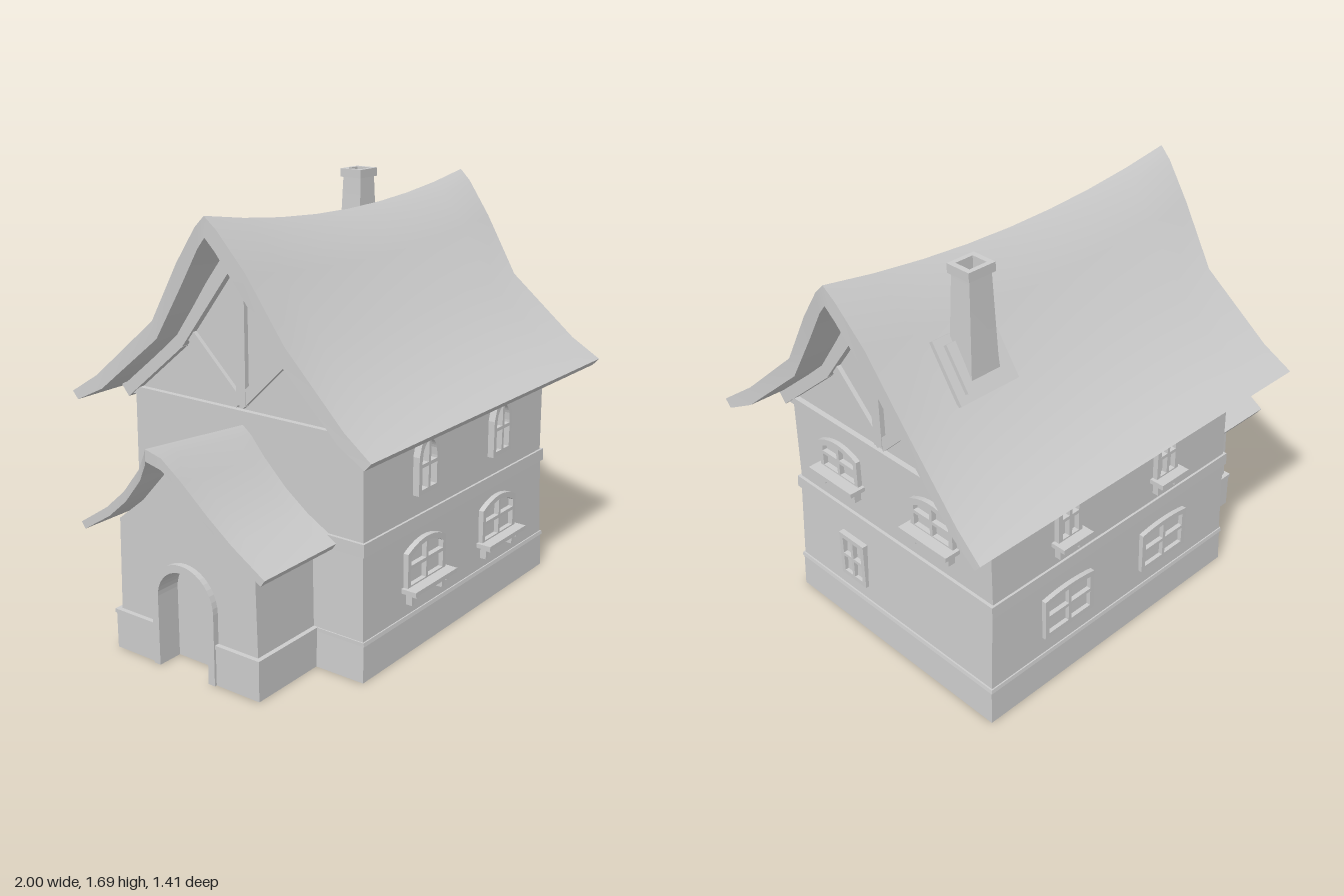
import * as THREE from 'three';
import { toCreasedNormals } from 'three/addons/utils/BufferGeometryUtils.js';

const material = new THREE.MeshStandardMaterial({ color: 0xcccccc });

function add(parent, name, geometry, x = 0, y = 0, z = 0) {
  const mesh = new THREE.Mesh(geometry, material);
  mesh.name = name;
  mesh.position.set(x, y, z);
  parent.add(mesh);
  return mesh;
}

const box = (w, h, d) => new THREE.BoxGeometry(w, h, d);
const vec = (pts) => pts.map(([x, y]) => new THREE.Vector2(x, y));
const mirrored = (half) => [...half, ...half.slice(0, -1).reverse().map(([a, ...rest]) => [-a, ...rest])];

// Extrude a (z, y) outline along x, from xMax down to xMin
function extrudeX(shape, xMin, xMax) {
  const g = new THREE.ExtrudeGeometry(shape, { depth: xMax - xMin, bevelEnabled: false, curveSegments: 10 });
  return g.rotateY(-Math.PI / 2).translate(xMax, 0, 0);
}

// Box whose bottom and top are given as [xMin, xMax, zHalf]
function taperBox(y0, y1, bottom, top) {
  const g = box(1, 1, 1), p = g.attributes.position;
  for (let i = 0; i < p.count; i++) {
    const up = p.getY(i) > 0, [x0, x1, z] = up ? top : bottom;
    p.setXYZ(i, p.getX(i) > 0 ? x1 : x0, up ? y1 : y0, Math.sign(p.getZ(i)) * z);
  }
  g.computeVertexNormals();
  return g;
}

// Thick curved roof: half profiles [z, y, inset] from eave to ridge, bent by place(t, point)
function roofGeometry(outer, inner, steps, place) {
  const ring = [...mirrored(outer), ...mirrored(inner).reverse()];
  const n = ring.length, pos = [], idx = [];
  for (let k = 0; k <= steps; k++) {
    for (const [z, y, inset] of ring) {
      const [px, py] = place(k / steps, y, inset);
      pos.push(px, py, z);
    }
  }
  const quad = (a, b, c, d) => idx.push(a, b, c, a, c, d);
  for (let k = 0; k < steps; k++) {
    for (let i = 0; i < n; i++) {
      const j = (i + 1) % n, a = k * n, b = a + n;
      quad(a + i, b + i, b + j, a + j);
    }
  }
  const e = steps * n;
  for (let i = 0; i < n / 2 - 1; i++) {
    quad(e + i, e + n - 1 - i, e + n - 2 - i, e + i + 1);
    quad(i, i + 1, n - 2 - i, n - 1 - i);
  }
  const g = new THREE.BufferGeometry();
  g.setAttribute('position', new THREE.Float32BufferAttribute(pos, 3));
  g.setIndex(idx);
  return toCreasedNormals(g, 0.5);
}

// Window with four panes, facing +z, origin at the bottom centre on the wall
function makeWindow({ hw, h, rise = 0, round = false, sill = false, out = 0.028 }) {
  const group = new THREE.Group();
  group.name = 'window';
  const border = 0.02, bar = 0.007, N = 10;
  const topEdge = (x, w, height) => {
    const u = Math.min(1, Math.abs(x) / w);
    return height - rise * (round ? 1 - Math.sqrt(1 - u * u) : u * u);
  };
  const outline = (a, b, y0, top) => {
    const pts = [[a, y0], [b, y0]];
    for (let i = 0; i <= N; i++) {
      const x = b + (a - b) * i / N;
      pts.push([x, top(x)]);
    }
    return vec(pts);
  };
  const frame = new THREE.Shape(outline(-hw, hw, 0, (x) => topEdge(x, hw, h)));
  const w = hw - border, mid = h * 0.5;
  for (const [a, b] of [[-w, -bar], [bar, w]]) {
    frame.holes.push(new THREE.Path(outline(a, b, border, () => mid - bar)));
    frame.holes.push(new THREE.Path(outline(a, b, mid + bar, (x) => topEdge(x, w, h - border))));
  }
  add(group, 'windowFrame', new THREE.ExtrudeGeometry(frame, { depth: 0.03 + out, bevelEnabled: false }), 0, 0, -0.03);
  if (sill) {
    add(group, 'windowSill', box(2 * hw + 0.03, 0.018, 0.09), 0, 0.005, 0.022);
    for (const s of [-1, 1]) {
      add(group, 'sillBracket', box(0.018, 0.06, 0.05), s * hw * 0.8, -0.03, 0.005);
      add(group, 'sillBracketFoot', box(0.018, 0.025, 0.065), s * hw * 0.8, -0.012, 0.018);
    }
  }
  return group;
}

export function createModel() {
  const house = new THREE.Group();
  house.name = 'house';

  // Walls, plinth and string courses
  add(house, 'plinth', taperBox(0, 0.15, [-0.505, 0.832, 0.563], [-0.5, 0.826, 0.56]));
  add(house, 'plinthBand', taperBox(0.145, 0.16, [-0.505, 0.831, 0.566], [-0.505, 0.828, 0.563]));
  add(house, 'lowerWalls', taperBox(0.15, 0.52, [-0.5, 0.822, 0.558], [-0.495, 0.804, 0.551]));
  add(house, 'middleBand', taperBox(0.49, 0.54, [-0.505, 0.815, 0.562], [-0.505, 0.813, 0.56]));
  const gable = mirrored([[0.551, 0.5], [0.546, 0.93], [0.3, 1.13], [0, 1.51]]);
  add(house, 'upperWalls', extrudeX(new THREE.Shape(vec(gable)), -0.492, 0.8));

  // Sagging main roof
  const outer = [[0.707, 0.92, 0], [0.585, 1.0, 0.015], [0.31, 1.245, 0.045], [0.16, 1.48, 0.025], [0.05, 1.62, 0.006], [0, 1.665, 0]];
  const inner = [[0.68, 0.89, 0], [0.56, 0.95, 0.015], [0.29, 1.18, 0.045], [0.14, 1.4, 0.025], [0.04, 1.545, 0.006], [0, 1.59, 0]];
  add(house, 'mainRoof', roofGeometry(outer, inner, 8, (k, y, inset) => {
    const t = 2 * k - 1;
    return [0.16 + t * (0.835 - inset), y - 0.075 * (1 - t * t) * Math.max(0, (y - 0.92) / 0.745)];
  }));

  // Gable timbers on both ends
  const timber = (name, x, [z0, y0], [z1, y1], width, thick = 0.05) => {
    const m = add(house, name, box(thick, Math.hypot(z1 - z0, y1 - y0), width), x, (y0 + y1) / 2, (z0 + z1) / 2);
    m.rotation.x = Math.atan2(z1 - z0, y1 - y0);
  };
  for (const x of [0.8, -0.492]) {
    timber('tieBeam', x, [-0.555, 0.918], [0.555, 0.918], 0.03, 0.045);
    timber('kingPost', x, [0.01, 0.95], [0.01, 1.5], 0.045, 0.04);
    for (const s of [-1, 1]) {
      timber('brace', x, [0, 0.955], [s * 0.25, 1.195], 0.045, 0.035);
      timber('rafter', x, [0, 1.525], [s * 0.29, 1.145], 0.055, 0.06);
      timber('rafterFoot', x, [s * 0.28, 1.155], [s * 0.575, 0.91], 0.055, 0.06);
    }
  }

  // Chimney with a hollow top, on two slabs lying on the roof slope
  const r = Math.SQRT2;
  const flue = [[0.072, 1.2], [0.062, 1.34], [0.05, 1.655], [0.06, 1.655], [0.06, 1.69], [0.038, 1.69], [0.038, 1.5], [0, 1.5]];
  const stack = new THREE.LatheGeometry(vec(flue.map(([a, y]) => [a * r, y])), 4).rotateY(Math.PI / 4).scale(1, 1, 0.88);
  add(house, 'chimney', toCreasedNormals(stack, 0.1), 0.585, 0, -0.255);
  for (const [w, h, d] of [[0.27, 0.04, 0.24], [0.2, 0.075, 0.18]]) {
    add(house, 'chimneyBase', box(w, h, d), 0.585, 1.315, -0.25).rotation.x = -0.97;
  }

  // Porch body with an arched door recess
  const half = [[0.345, 0], [0.335, 0.15], [0.325, 0.53], [0.2, 0.63], [0.1, 0.74], [0, 0.85]];
  add(house, 'porchWalls', extrudeX(new THREE.Shape(vec(mirrored(half))), -0.74, -0.48));
  const archPath = (shape, w) => {
    shape.lineTo(-w, 0);
    shape.lineTo(-w, 0.28);
    shape.absarc(0, 0.28, w, Math.PI, 0, true);
    shape.lineTo(w, 0);
  };
  const front = new THREE.Shape(vec(mirrored(half)));
  archPath(front, 0.12);
  add(house, 'porchFront', extrudeX(front, -0.82, -0.74));
  const surround = new THREE.Shape();
  surround.moveTo(0.12, 0);
  surround.lineTo(0.15, 0);
  surround.lineTo(0.15, 0.28);
  surround.absarc(0, 0.28, 0.15, 0, Math.PI, false);
  surround.lineTo(-0.15, 0);
  archPath(surround, 0.12);
  add(house, 'doorSurround', extrudeX(surround, -0.845, -0.78));
  for (const s of [-1, 1]) {
    add(house, 'porchPlinth', box(0.34, 0.15, 0.215), -0.665, 0.075, s * 0.2425);
    add(house, 'porchPlinthBand', box(0.345, 0.015, 0.217), -0.667, 0.153, s * 0.2455);
  }

  // Porch roof with a raised, overhanging ridge
  const porchOuter = [[0.44, 0.515, 0.095], [0.3, 0.605, 0.093], [0.2, 0.69, 0.085], [0.1, 0.8, 0.065], [0.04, 0.88, 0.035], [0, 0.915, 0]];
  const porchInner = porchOuter.map(([z, y, inset]) => [z * 0.96, y - 0.025 - 0.02 * (1 - z / 0.44), inset]);
  add(house, 'porchRoof', roofGeometry(porchOuter, porchInner, 5, (k, y, inset) => {
    const start = -1 + inset;
    return [start + (-0.48 - start) * k, y - 0.045 * k * Math.max(0, (y - 0.515) / 0.4)];
  }));

  // Windows: turn gives the side of the house they face
  const place = (spec, x, y, z, turn) => {
    const win = makeWindow(spec);
    win.position.set(x, y, z);
    win.rotation.y = turn;
    house.add(win);
  };
  for (const x of [-0.11, 0.43]) {
    place({ hw: 0.07, h: 0.225, rise: 0.075, round: true }, x, 0.625, 0.548, 0);
    place({ hw: 0.13, h: 0.185, rise: 0.035, sill: true, out: 0.022 }, x, 0.265, 0.553, 0);
    place({ hw: 0.062, h: 0.205, rise: 0.03, sill: true, out: 0.025 }, x, 0.635, -0.546, Math.PI);
    place({ hw: 0.13, h: 0.19, rise: 0.012, out: 0.02 }, x, 0.235, -0.553, Math.PI);
  }
  for (const z of [-0.26, 0.265]) {
    place({ hw: 0.112, h: 0.155, rise: 0.03, sill: true, out: 0.02 }, 0.8, 0.68, z, Math.PI / 2);
  }
  place({ hw: 0.073, h: 0.2, out: 0.02 }, 0.812, 0.22, 0.215, Math.PI / 2);

  return house;
}
